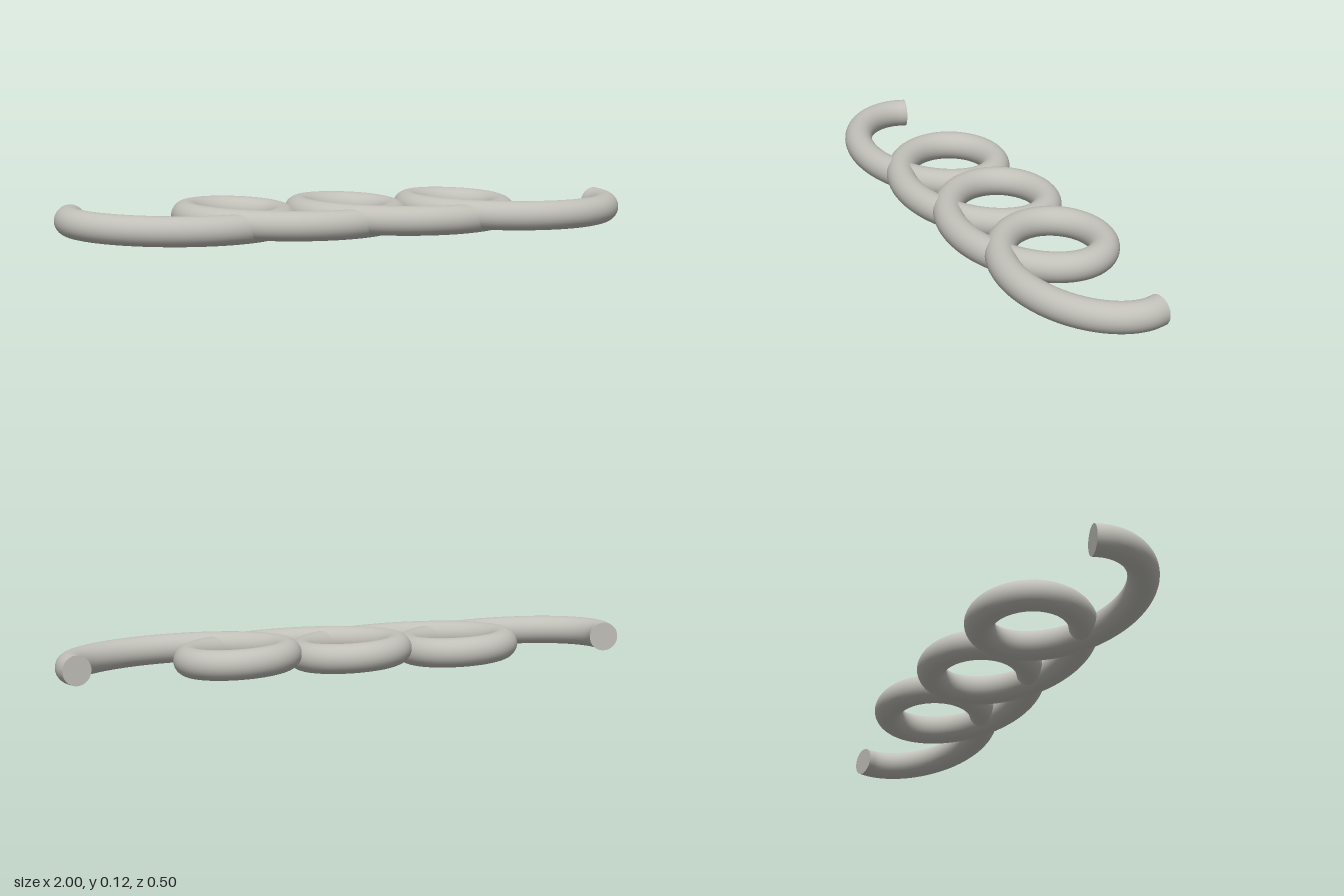
import * as THREE from 'three';

const RADIUS = 0.05;
const T_END = (11 * Math.PI) / 3;
const POINTS = 100;

// Looping rod centreline: a flattened trochoid that gently rises and falls
function rodPoint(t) {
  return new THREE.Vector3(
    0.0625 * t - 0.255 * Math.sin(t),
    0.06 + 0.01 * Math.sin(t),
    -0.2 * Math.cos(t)
  );
}

export function createModel() {
  const group = new THREE.Group();
  group.name = 'loopedRod';
  const metal = new THREE.MeshStandardMaterial({ color: 0xc0bfb8 });
  metal.name = 'warm grey';

  const points = [];
  for (let i = 0; i <= POINTS; i++) {
    points.push(rodPoint(-T_END + (2 * T_END * i) / POINTS));
  }
  const path = new THREE.CatmullRomCurve3(points);
  path.arcLengthDivisions = 1000;

  // Rod with three loops
  const rod = new THREE.Mesh(new THREE.TubeGeometry(path, 400, RADIUS, 32, false), metal);
  rod.name = 'rod';
  group.add(rod);

  // Flat ends
  for (const [u, sign, name] of [[0, -1, 'rightEnd'], [1, 1, 'leftEnd']]) {
    const cap = new THREE.Mesh(new THREE.CircleGeometry(RADIUS, 32), metal);
    cap.name = name;
    cap.position.copy(path.getPointAt(u));
    cap.lookAt(cap.position.clone().addScaledVector(path.getTangentAt(u), sign));
    group.add(cap);
  }
  return group;
}
